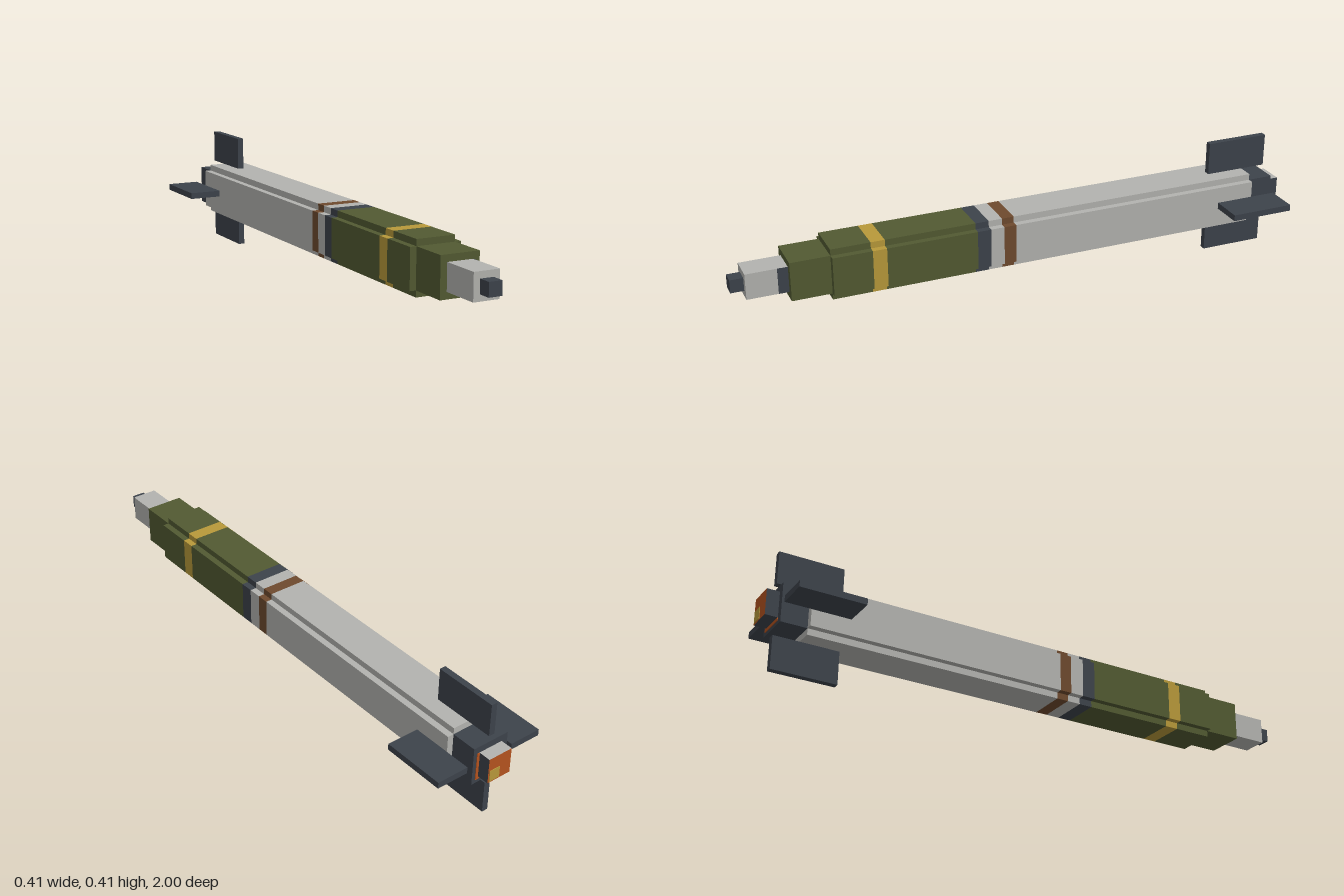
import * as THREE from 'three';

const mat = (name, color) => {
  const m = new THREE.MeshStandardMaterial({ color });
  m.name = name;
  return m;
};

export function createModel() {
  const green = mat('olive green', 0x525a32);
  const grey = mat('light grey', 0xb3b3af);
  const dark = mat('dark slate', 0x3d434b);
  const brown = mat('brown', 0x6e4a2e);
  const yellow = mat('ochre yellow', 0xb8993a);
  const orange = mat('burnt orange', 0xb5531f);

  const model = new THREE.Group();
  model.name = 'rocket';
  const axisY = 0.205;   // height of the long axis
  const outer = 0.09, inner = 0.068;

  const add = (name, geometry, material, x, y, z) => {
    const mesh = new THREE.Mesh(geometry, material);
    mesh.name = name;
    mesh.position.set(x, axisY + y, z);
    model.add(mesh);
    return mesh;
  };
  // Box centred on the axis, given its half width and its z range
  const block = (name, half, z0, z1, material) =>
    add(name, new THREE.BoxGeometry(half * 2, half * 2, z1 - z0), material, 0, 0, (z0 + z1) / 2);

  // Body: square tube with notched corners, one piece per colour band
  const notched = new THREE.Shape([
    [inner, -outer], [inner, -inner], [outer, -inner], [outer, inner],
    [inner, inner], [inner, outer], [-inner, outer], [-inner, inner],
    [-outer, inner], [-outer, -inner], [-inner, -inner], [-inner, -outer],
  ].map(([x, y]) => new THREE.Vector2(x, y)));
  const bands = [
    ['motorSection', -0.865, 0.045, grey],
    ['brownBand', 0.045, 0.087, brown],
    ['greyBand', 0.087, 0.135, grey],
    ['darkBand', 0.135, 0.182, dark],
    ['warheadRear', 0.182, 0.497, green],
    ['yellowBand', 0.497, 0.545, yellow],
    ['warheadFront', 0.545, 0.68, green],
  ];
  for (const [name, z0, z1, material] of bands) {
    const geometry = new THREE.ExtrudeGeometry(notched, { depth: z1 - z0, bevelEnabled: false });
    add(name, geometry, material, 0, 0, z0);
  }

  // Stepped nose
  block('noseCollar', inner, 0.68, 0.815, green);
  block('fuze', 0.045, 0.815, 0.955, grey);
  block('noseTip', 0.023, 0.955, 1, dark);
  add('fuzeMark', new THREE.BoxGeometry(0.002, 0.09, 0.035), dark, 0.045, 0, 0.8325);

  // Tail and nozzle
  block('tailBlock', inner, -0.955, -0.865, dark);
  block('nozzle', 0.045, -0.998, -0.955, [dark, dark, grey, dark, dark, orange]);
  add('nozzleGlow', new THREE.BoxGeometry(0.04, 0.04, 0.002), yellow, 0.02, -0.02, -0.999);
  add('glowSide', new THREE.BoxGeometry(0.01, 0.1, 0.002), orange, 0.05, -0.005, -0.956);
  add('glowBottom', new THREE.BoxGeometry(0.09, 0.01, 0.002), orange, 0, -0.05, -0.956);

  // Four fins around the axis
  for (let i = 0; i < 4; i++) {
    const angle = i * Math.PI / 2;
    const fin = add('fin', new THREE.BoxGeometry(0.115, 0.022, 0.225), dark,
      Math.cos(angle) * 0.1475, Math.sin(angle) * 0.1475, -0.8425);
    fin.rotation.z = angle;
  }
  return model;
}
